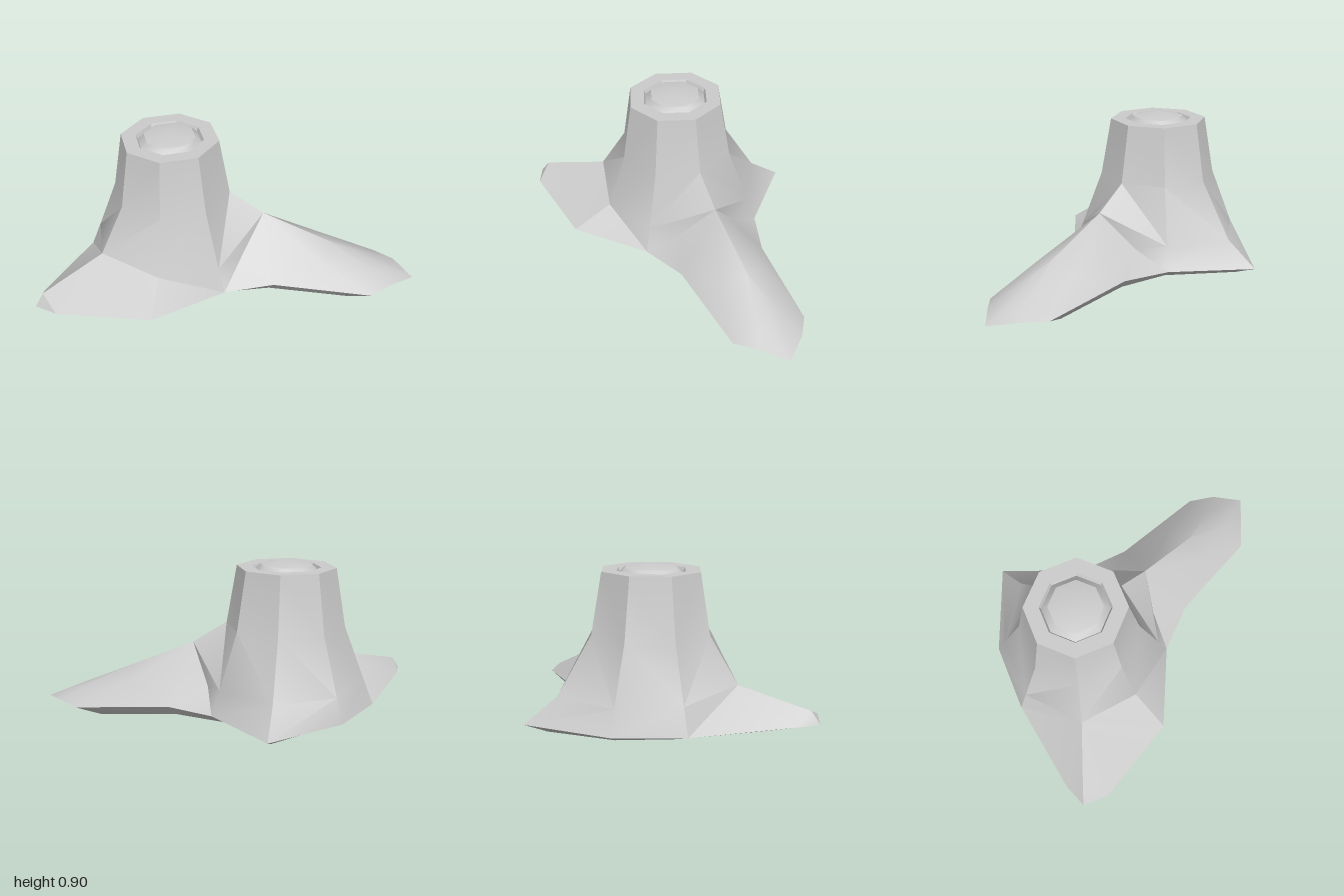
import * as THREE from 'three';
import { toCreasedNormals } from 'three/addons/utils/BufferGeometryUtils.js';

const CX = -0.375, CZ = -0.012;

// Collects triangles into one mesh, smooth except at sharp edges
function builder(name, material) {
  const pos = [];
  const A = new THREE.Vector3(), B = new THREE.Vector3(), C = new THREE.Vector3();
  const tri = (a, b, c) => {
    A.fromArray(a); B.fromArray(b).sub(A); C.fromArray(c).sub(A);
    if (B.cross(C).length() > 1e-7) pos.push(...a, ...b, ...c);
  };
  return {
    tri,
    // closed band between two rings that run E, N, W, S; diagonals mirror front to back
    loft(upper, lower) {
      const n = upper.length;
      for (let i = 0; i < n; i++) {
        const j = (i + 1) % n, back = i < n / 2;
        tri(upper[i], lower[i], back ? lower[j] : upper[j]);
        tri(back ? upper[i] : lower[i], lower[j], upper[j]);
      }
    },
    // polygon fan that always faces upwards
    patch(...p) {
      for (let i = 1; i < p.length - 1; i++) {
        const [a, b, c] = [p[0], p[i], p[i + 1]];
        const up = (b[2] - a[2]) * (c[0] - a[0]) - (b[0] - a[0]) * (c[2] - a[2]) > 0;
        if (up) tri(a, b, c); else tri(a, c, b);
      }
    },
    mesh() {
      const g = new THREE.BufferGeometry();
      g.setAttribute('position', new THREE.Float32BufferAttribute(pos, 3));
      const m = new THREE.Mesh(toCreasedNormals(g, 0.62), material);
      m.name = name;
      return m;
    },
  };
}

// Octagon around the trunk axis, starting at +x and turning to the back
const ring = (r, y) => Array.from({ length: 8 }, (_, i) => {
  const a = i * Math.PI / 4;
  return [CX + r * Math.cos(a), y, CZ - r * Math.sin(a)];
});

export function createModel() {
  const group = new THREE.Group();
  group.name = 'treeStump';
  const material = new THREE.MeshStandardMaterial({ color: 0xcccccc });

  // Uneven flare at the foot of the trunk
  const flare = [
    [0.14, 0.415, CZ], [-0.067, 0.235, -0.325], [CX, 0.235, -0.52], [-0.685, 0.235, -0.325],
    [-0.81, 0.25, CZ], [-0.705, 0.3, 0.33], [CX, 0.235, 0.42], [-0.067, 0.235, 0.298],
  ];
  const [E, NE, N, NW, W, SW, S, SE] = flare;

  // Outline of the roots, and the inset outline below it
  const rim = [
    [1, 0.05, CZ], [0.89, 0.07, -0.145], [0.77, 0.06, -0.23], [0.23, 0.11, -0.267],
    [-0.03, 0.105, -0.36], [CX, 0.105, -0.7], [-0.72, 0.105, -0.36], [-0.865, 0.11, CZ],
    [-0.995, 0.145, 0.5], [-1, 0.145, 0.635], [-0.87, 0.16, 0.695], [CX, 0.125, 0.64],
    [-0.03, 0.105, 0.335], [0.23, 0.11, 0.24], [0.77, 0.06, 0.2], [0.87, 0.07, 0.11],
  ];
  const sole = [
    [0.82, 0, CZ], [0.74, 0.015, -0.1], [0.64, 0.015, -0.185], [0.2, 0.055, -0.22],
    [-0.08, 0.055, -0.3], [CX, 0.055, -0.575], [-0.62, 0.055, -0.3], [-0.71, 0.055, CZ],
    [-0.83, 0.085, 0.42], [-0.83, 0.085, 0.5], [-0.71, 0.068, 0.53], [CX, 0.065, 0.53],
    [-0.06, 0.052, 0.27], [0.2, 0.055, 0.2], [0.64, 0.015, 0.165], [0.74, 0.015, 0.09],
  ];
  const [tip, b89, b77, b23, rNE, rN, rNW, rW, rC, rB, rA, rS, rSE, f23, f77, f89] = rim;

  // Trunk down to the ground, with grooves beside the long root
  const frontGroove = [0.04, 0.225, 0.155], backGroove = [0.025, 0.21, -0.175];
  const trunk = builder('trunk', material);
  trunk.loft(ring(0.27, 0.86), ring(0.325, 0.54));
  trunk.loft(ring(0.325, 0.54), flare);
  trunk.patch(W, rW, rNW, NW);
  trunk.patch(NW, rNW, rN, N);
  trunk.patch(N, rN, rNE, NE);
  trunk.patch(S, SE, rSE, rS);
  trunk.tri(E, SE, frontGroove);
  trunk.tri(SE, rSE, frontGroove);
  trunk.tri(E, backGroove, NE);
  trunk.tri(NE, backGroove, rNE);
  group.add(trunk.mesh());

  // Cut top: flat bark border, groove and a low domed core
  const border = builder('barkRim', material);
  border.loft(ring(0.188, 0.86), ring(0.27, 0.86));
  border.loft(ring(0.178, 0.838), ring(0.188, 0.86));
  group.add(border.mesh());
  const core = builder('woodCore', material);
  core.loft(ring(0.143, 0.872), ring(0.178, 0.838));
  core.loft(ring(0, 0.897), ring(0.143, 0.872));
  group.add(core.mesh());

  // Front right root
  const peak = [-0.965, 0.21, 0.6];
  const cornerRoot = builder('cornerRoot', material);
  cornerRoot.patch(SW, S, rS, rA);
  cornerRoot.patch(SW, rA, peak);
  cornerRoot.patch(peak, rA, rB);
  cornerRoot.patch(peak, rB, rC);
  cornerRoot.patch(SW, peak, rC);
  cornerRoot.patch(SW, rC, rW, W);
  group.add(cornerRoot.mesh());

  // Long side root: ridge with a flattened end, both flanks
  const ridge50 = [0.52, 0.255, CZ], ridge77 = [0.77, 0.145, CZ];
  const sideRoot = builder('longRoot', material);
  for (const [s, groove, base, r23, r77, r89] of [
    [1, frontGroove, rSE, f23, f77, f89], [-1, backGroove, rNE, b23, b77, b89],
  ]) {
    const shoulder = [0.48, 0.21, CZ + s * 0.135], end = [0.77, 0.137, CZ + s * 0.07];
    sideRoot.patch(groove, base, r23);
    sideRoot.patch(E, groove, r23);
    sideRoot.patch(E, r23, shoulder, ridge50);
    sideRoot.patch(shoulder, r23, r77, end);
    sideRoot.patch(ridge50, shoulder, end, ridge77);
    sideRoot.patch(end, r77, r89, tip);
    sideRoot.patch(ridge77, end, tip);
  }
  group.add(sideRoot.mesh());

  // Undercut wall and underside
  const base = builder('underside', material);
  base.loft(rim, sole);
  sole.forEach((p, i) => base.tri([CX, 0.055, CZ], sole[(i + 1) % sole.length], p));
  group.add(base.mesh());

  return group;
}
